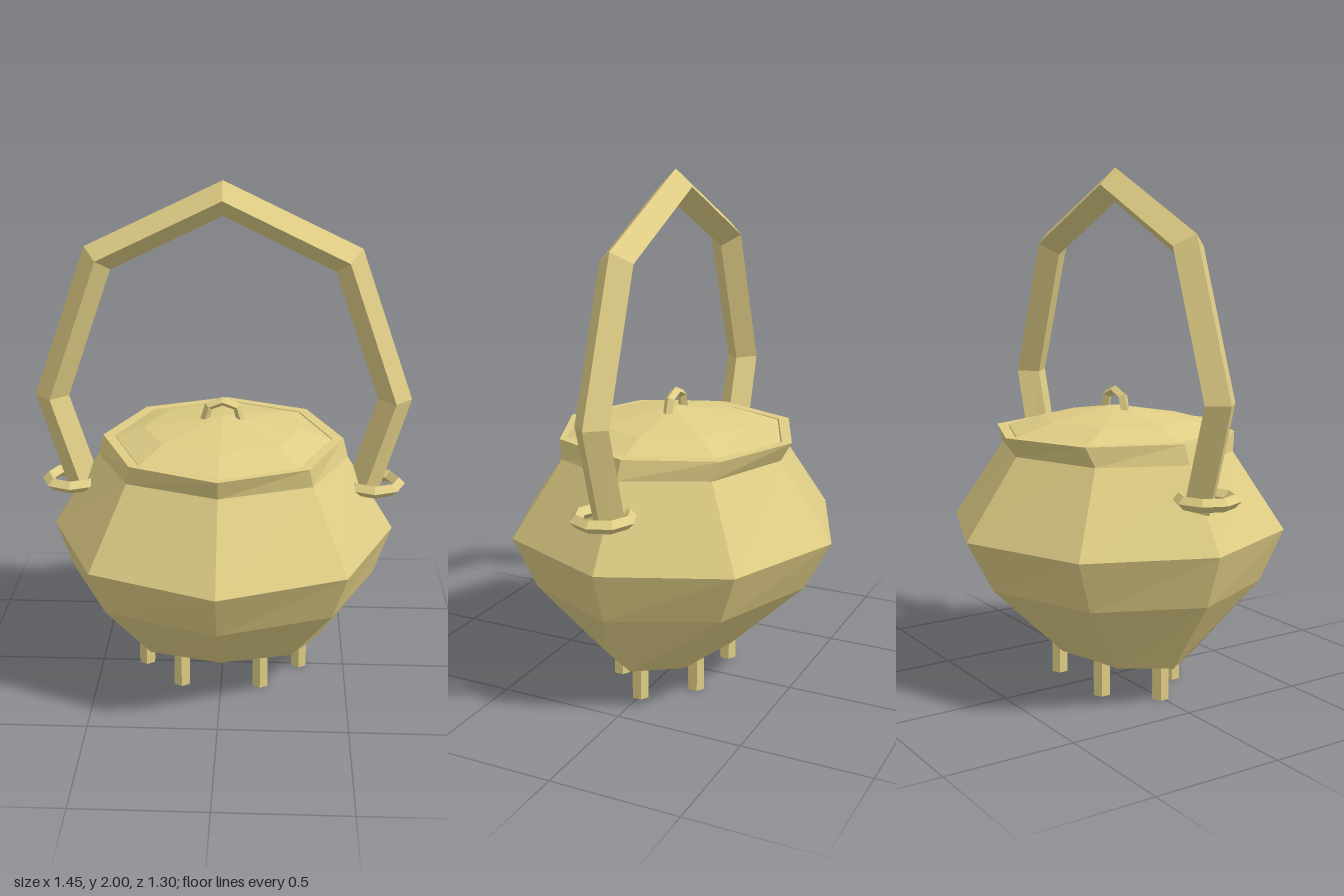
import * as THREE from 'three';

const material = new THREE.MeshStandardMaterial({ color: 0xdfcd85, flatShading: true });

// Skin a list of equal-sized rings, each counter-clockwise about the direction of travel
function loft(name, rings, capStart = true, capEnd = true) {
  const pos = [];
  const tri = (a, b, c) => [a, b, c].forEach((p) => pos.push(p.x, p.y, p.z));
  const n = rings[0].length;
  for (let r = 0; r < rings.length - 1; r++) {
    for (let i = 0; i < n; i++) {
      const j = (i + 1) % n;
      tri(rings[r][i], rings[r][j], rings[r + 1][j]);
      tri(rings[r][i], rings[r + 1][j], rings[r + 1][i]);
    }
  }
  const first = rings[0], last = rings[rings.length - 1];
  for (let i = 1; i < n - 1; i++) {
    if (capStart) tri(first[0], first[i + 1], first[i]);
    if (capEnd) tri(last[0], last[i], last[i + 1]);
  }
  const geometry = new THREE.BufferGeometry();
  geometry.setAttribute('position', new THREE.Float32BufferAttribute(pos, 3));
  geometry.computeVertexNormals();
  const mesh = new THREE.Mesh(geometry, material);
  mesh.name = name;
  return mesh;
}

// Eight-sided oval ring at a given height
function oval([y, rx, rz, z = 0]) {
  return Array.from({ length: 8 }, (_, i) => {
    const a = (i * Math.PI) / 4;
    return new THREE.Vector3(rx * Math.cos(a), y, z - rz * Math.sin(a));
  });
}

// Diamond-section bar along a mirrored arch; half runs from the right foot to the crown
function arch(name, half, thickness, width) {
  const path = [...half, ...half.slice(0, -1).reverse().map(([x, y]) => [-x, y])]
    .map(([x, y]) => new THREE.Vector3(x, y, 0));
  const rings = path.map((p, i) => {
    const before = path[Math.max(i - 1, 0)], after = path[Math.min(i + 1, path.length - 1)];
    const t = new THREE.Vector3();
    if (i > 0) t.add(p.clone().sub(before).normalize());
    if (i < path.length - 1) t.add(after.clone().sub(p).normalize());
    t.normalize();
    const out = new THREE.Vector3(t.y, -t.x, 0).multiplyScalar(thickness);
    const side = new THREE.Vector3(0, 0, -width);
    return [out, side, out.clone().negate(), side.clone().negate()].map((d) => d.add(p));
  });
  return loft(name, rings);
}

export function createModel() {
  const kettle = new THREE.Group();
  kettle.name = 'kettle';

  // Faceted pot with flared rim: [height, half width, half depth, z offset]
  const pot = [
    [0.14, 0.4, 0.245],
    [0.43, 0.605, 0.545],
    [0.63, 0.675, 0.652],
    [0.93, 0.49, 0.44],
    [1.005, 0.47, 0.475, -0.008],
    [1.005, 0.425, 0.443],
    [0.98, 0.42, 0.435],
  ];
  kettle.add(loft('pot', pot.map(oval), true, false));

  // Shallow domed lid
  const lid = [[0.98, 0.422, 0.437], [1.003, 0.422, 0.437], [1.045, 0.31, 0.285], [1.095, 0.001, 0.001]];
  kettle.add(loft('lid', lid.map(oval)));

  // Small loop on the lid
  kettle.add(arch('lidLoop', [[0.072, 1.07], [0.055, 1.132], [0, 1.153]], 0.018, 0.02));

  // Tall carrying handle
  kettle.add(arch('handle', [[0.545, 0.785], [0.662, 1.17], [0.47, 1.71], [0, 1.935]], 0.065, 0.067));

  // Flat rings at the sides that hold the handle
  for (const s of [1, -1]) {
    const ring = new THREE.Mesh(new THREE.TorusGeometry(0.1, 0.025, 4, 8), material);
    ring.name = s > 0 ? 'leftHandleRing' : 'rightHandleRing';
    ring.rotation.x = Math.PI / 2;
    ring.position.set(s * 0.592, 0.822, 0);
    kettle.add(ring);
  }

  // Six short hexagonal feet on an oval
  const footGeometry = new THREE.CylinderGeometry(0.035, 0.035, 0.16, 6);
  for (let i = 0; i < 6; i++) {
    const a = (i * Math.PI) / 3;
    const foot = new THREE.Mesh(footGeometry, material);
    foot.name = `foot${i + 1}`;
    foot.position.set(0.315 * Math.cos(a), 0.08, 0.19 * Math.sin(a));
    kettle.add(foot);
  }

  return kettle;
}
